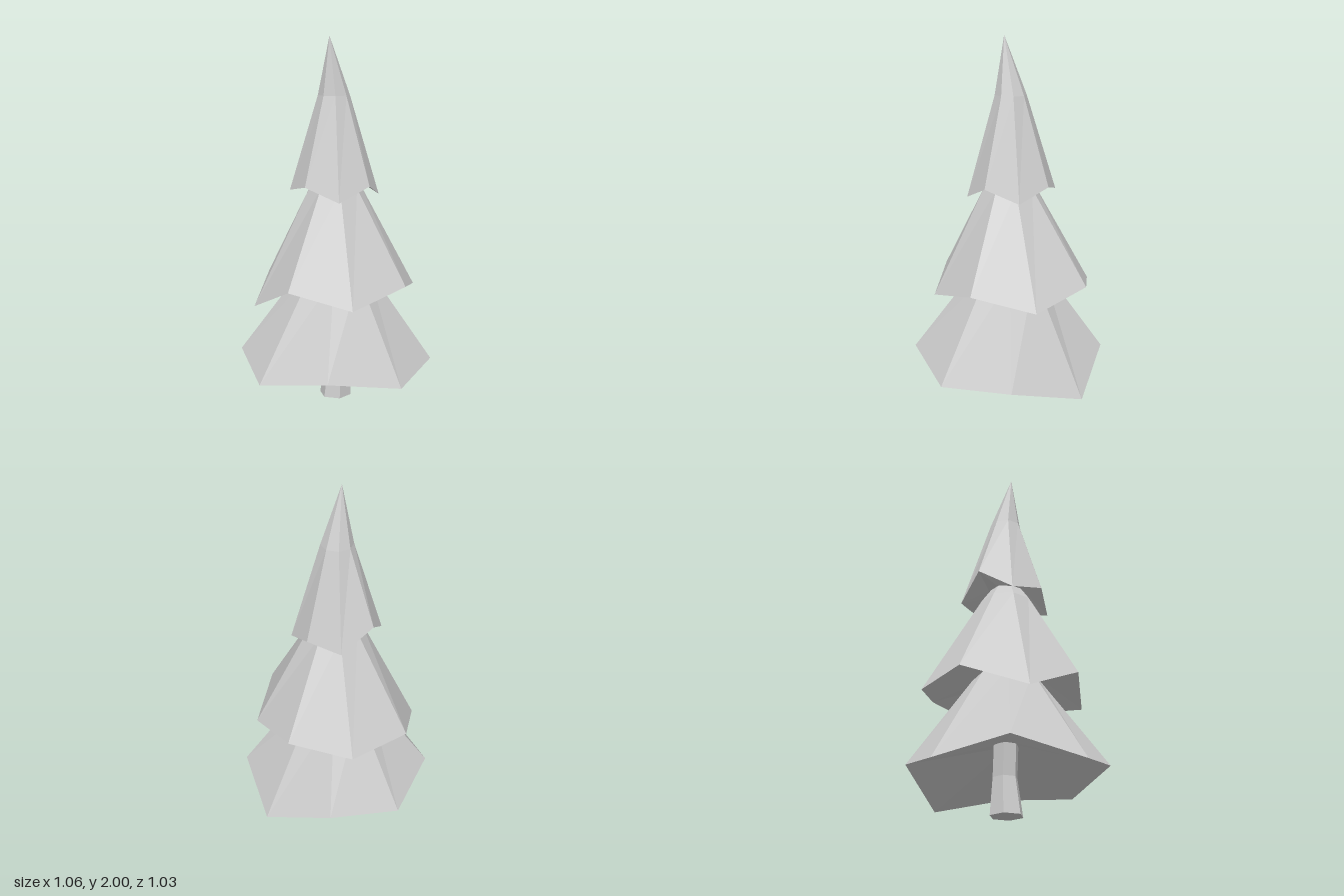
import * as THREE from 'three';

const material = new THREE.MeshStandardMaterial({ color: 0xcccccc, flatShading: true });

// Regular horizontal ring of n points; r = 0 gives a closing tip.
function ring(n, r, y, startDeg = 0, cx = 0, cz = 0) {
  return Array.from({ length: n }, (_, i) => {
    const t = THREE.MathUtils.degToRad(startDeg) + (i / n) * Math.PI * 2;
    return [cx + r * Math.cos(t), y, cz + r * Math.sin(t)];
  });
}

// Faceted skin through rings with equal point counts, from the underside up.
function loft(name, rings) {
  const pos = [];
  const n = rings[0].length;
  const tri = (a, b, c) => {
    const same = (p, q) => p.every((v, k) => v === q[k]);
    if (!same(a, b) && !same(b, c) && !same(a, c)) pos.push(...a, ...b, ...c);
  };
  for (let k = 0; k < rings.length - 1; k++) {
    const lo = rings[k], hi = rings[k + 1];
    for (let i = 0; i < n; i++) {
      const j = (i + 1) % n;
      tri(lo[j], lo[i], hi[i]);
      tri(lo[j], hi[i], hi[j]);
    }
  }
  const geo = new THREE.BufferGeometry();
  geo.setAttribute('position', new THREE.Float32BufferAttribute(pos, 3));
  geo.computeVertexNormals();
  const mesh = new THREE.Mesh(geo, material);
  mesh.name = name;
  return mesh;
}

// Uneven drooping rims [x, y, z], starting at the back
const lowerRim = [
  [0.075, 0.19, -0.52], [0.418, 0.265, -0.309], [0.528, 0.11, 0.074], [0.319, 0.22, 0.43],
  [-0.08, 0.185, 0.515], [-0.438, 0.265, 0.309], [-0.531, 0.19, -0.082], [-0.319, 0.26, -0.428],
];
const middleRim = [
  [-0.042, 0.655, -0.467], [0.29, 0.635, -0.357], [0.463, 0.695, -0.055], [0.364, 0.62, 0.272],
  [0.06, 0.695, 0.433], [-0.265, 0.615, 0.334], [-0.426, 0.695, 0.032], [-0.344, 0.54, -0.295],
];
const topRim = [
  [0.004, 1.29, -0.258], [0.177, 1.175, -0.184], [0.245, 1.22, -0.011], [0.177, 1.15, 0.161],
  [0.004, 1.22, 0.23], [-0.166, 1.145, 0.161], [-0.239, 1.22, -0.011], [-0.166, 1.18, -0.184],
];

export function createModel() {
  const tree = new THREE.Group();
  tree.name = 'pineTree';

  // Six-sided trunk, slightly bent
  tree.add(loft('trunk', [
    ring(6, 0, 0, 5),
    ring(6, 0.09, 0, 5),
    ring(6, 0.068, 0.2, 5, 0.012, 0.004),
    ring(6, 0.068, 0.45, 5, 0, 0),
    ring(6, 0, 0.45, 5),
  ]));

  // Foliage tiers: hollowed underside, rim, shoulder, tip
  tree.add(loft('lowerFoliage', [
    ring(8, 0, 0.38, -82),
    ring(8, 0.07, 0.37, -82),
    lowerRim,
    ring(8, 0.185, 0.73, -82),
    ring(8, 0, 0.9, -82),
  ]));
  tree.add(loft('middleFoliage', [
    ring(8, 0, 0.78, -95),
    ring(8, 0.13, 0.77, -95),
    middleRim,
    ring(8, 0.14, 1.2, -95),
    ring(8, 0, 1.4, -95),
  ]));
  tree.add(loft('topFoliage', [
    ring(8, 0, 1.28, -90),
    ring(8, 0.1, 1.27, -90),
    topRim,
    ring(8, 0.086, 1.69, -90, 0, -0.011),
    ring(8, 0, 2, -90, -0.04, -0.008),
  ]));

  return tree;
}
